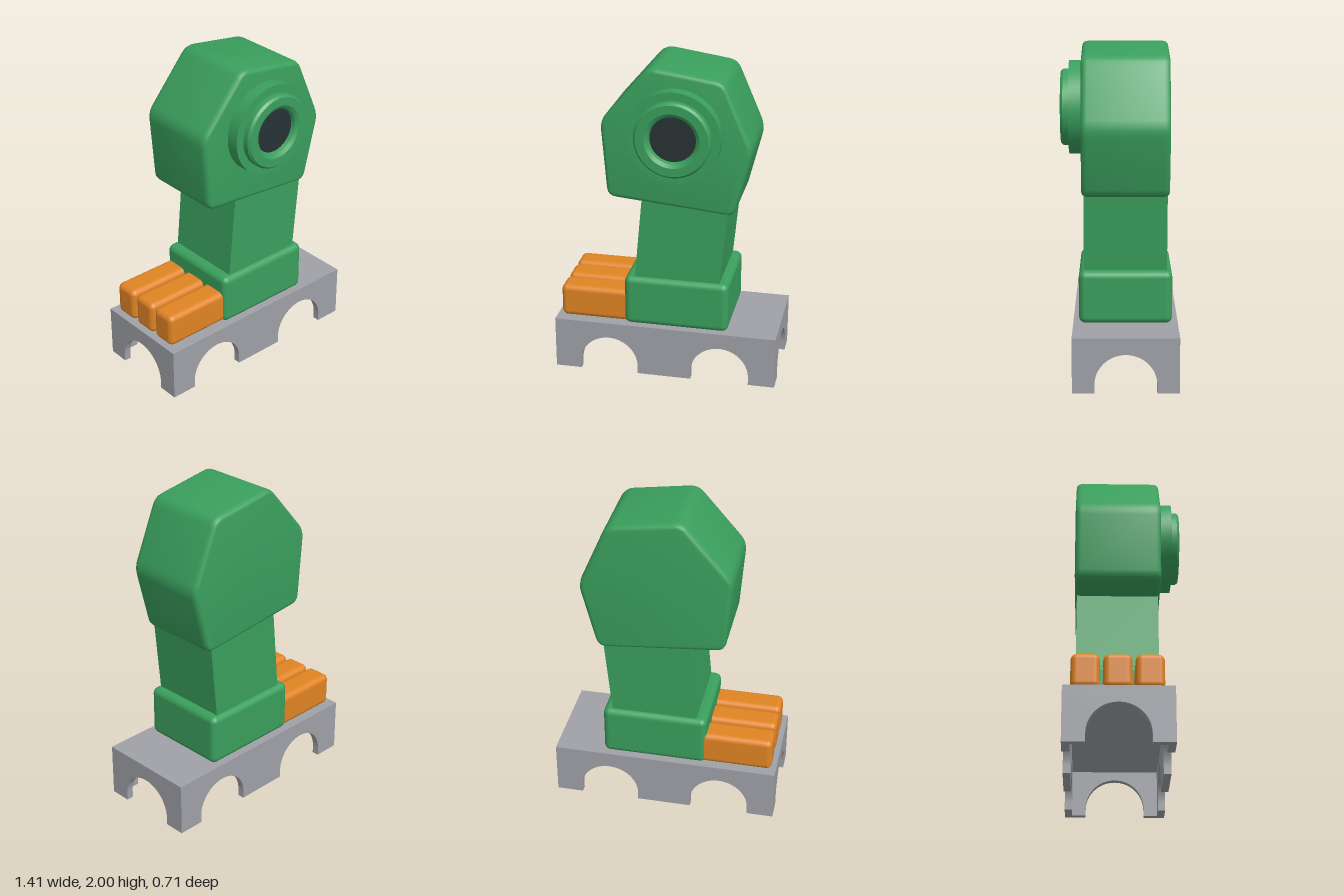
import * as THREE from 'three';
import { toCreasedNormals } from 'three/addons/utils/BufferGeometryUtils.js';
import { RoundedBoxGeometry } from 'three/addons/geometries/RoundedBoxGeometry.js';

const mat = (name, color) => {
  const m = new THREE.MeshStandardMaterial({ color });
  m.name = name;
  return m;
};

export function createModel() {
  const green = mat('green', 0x3a9f5d);
  const orange = mat('orange', 0xe08424);
  const grey = mat('grey', 0x9fa1a7);
  const dark = mat('dark lens', 0x273234);
  const model = new THREE.Group();

  const add = (parent, name, geo, material, x = 0, y = 0, z = 0) => {
    const mesh = new THREE.Mesh(geo, material);
    mesh.name = name;
    mesh.position.set(x, y, z);
    parent.add(mesh);
    return mesh;
  };

  // Rounded box given by its min and max corners
  const block = (parent, name, material, a, b, radius) => {
    const [w, h, d] = a.map((v, i) => b[i] - v);
    return add(parent, name, new RoundedBoxGeometry(w, h, d, 3, radius), material,
      ...a.map((v, i) => (v + b[i]) / 2));
  };

  // Hollow plinth: a top plate and four walls with arched cut-outs
  const base = new THREE.Group();
  base.name = 'base';
  base.position.z = -0.037;
  model.add(base);
  const W = 0.706, D = 0.317, H = 0.335, T = 0.045, R = 0.185, archSide = 0.05;
  const wall = (half, arches) => {
    const s = new THREE.Shape();
    s.moveTo(-half, 0);
    for (const c of arches) {
      s.lineTo(c - R, 0);
      s.lineTo(c - R, archSide);
      s.absarc(c, archSide, R, Math.PI, 0, true);
      s.lineTo(c + R, 0);
    }
    s.lineTo(half, 0);
    s.lineTo(half, H - T);
    s.lineTo(-half, H - T);
    const g = new THREE.ExtrudeGeometry(s, { depth: T, bevelEnabled: false, curveSegments: 24 });
    return toCreasedNormals(g, 0.5);
  };
  add(base, 'baseTop', new THREE.BoxGeometry(2 * W, T, 2 * D), grey, 0, H - T / 2, 0);
  for (const side of [1, -1]) {
    const long = add(base, 'longWall', wall(W, [-0.355, 0.355]), grey, 0, 0, side * (D - T));
    const short = add(base, 'shortWall', wall(D - T, [0]), grey, side * (W - T), 0, 0);
    long.rotation.y = side > 0 ? 0 : Math.PI;
    short.rotation.y = side * Math.PI / 2;
  }

  // Foot and three toes
  block(model, 'foot', green, [-0.262, 0.33, -0.32], [0.397, 0.655, 0.246], 0.04);
  for (const z of [-0.31, -0.125, 0.058]) {
    block(model, 'toe', orange, [-0.677, 0.334, z], [-0.22, 0.546, z + 0.166], 0.036);
  }

  // Leaning leg
  const legShape = new THREE.Shape([[-0.2, 0.62], [0.336, 0.62], [0.395, 1.25], [-0.142, 1.25]]
    .map(p => new THREE.Vector2(...p)));
  add(model, 'leg', new THREE.ExtrudeGeometry(legShape, { depth: 0.503, bevelEnabled: false }),
    green, 0, 0, -0.288);

  // Six-sided head with softened corners
  const corners = [[-0.1, 2.012], [0.35, 1.945], [0.528, 1.535], [0.42, 1.108], [-0.365, 1.18], [-0.403, 1.66]]
    .map(p => new THREE.Vector2(...p)).reverse();
  const headShape = new THREE.Shape();
  corners.forEach((c, i) => {
    const toward = q => c.clone().add(q.clone().sub(c).setLength(0.055));
    const a = toward(corners[(i + 5) % 6]), b = toward(corners[(i + 1) % 6]);
    if (i) headShape.lineTo(a.x, a.y);
    else headShape.moveTo(a.x, a.y);
    headShape.quadraticCurveTo(c.x, c.y, b.x, b.y);
  });
  headShape.closePath();
  const headGeo = new THREE.ExtrudeGeometry(headShape, {
    depth: 0.455, bevelThickness: 0.036, bevelSize: 0.026, bevelOffset: -0.026,
    bevelSegments: 3, curveSegments: 4,
  });
  add(model, 'head', toCreasedNormals(headGeo, 0.6), green, 0, 0, -0.264);

  // Stepped eye ring turned around the forward axis, with a sunken lens
  const eye = new THREE.Group();
  eye.name = 'eye';
  eye.position.set(0.065, 1.612, 0);
  eye.rotation.x = Math.PI / 2;
  model.add(eye);
  const profile = [[0.284, 0.2], [0.284, 0.305], [0.233, 0.305], [0.233, 0.34], [0.22, 0.355],
    [0.168, 0.355], [0.146, 0.34], [0.138, 0.312]].map(p => new THREE.Vector2(...p));
  const ringGeo = toCreasedNormals(new THREE.LatheGeometry(profile, 48), 0.5);
  // The profile runs outside to inside, so check facing by drawing both sides
  const ringMat = green.clone();
  ringMat.side = THREE.DoubleSide;
  const reversed = new THREE.LatheGeometry(profile.slice().reverse(), 48);
  ringGeo.dispose();
  ringMat.dispose();
  // Outward faces need the profile to climb from bottom to top along the outside
  const climbs = new THREE.LatheGeometry(profile, 48);
  reversed.dispose();
  add(eye, 'eyeRing', toCreasedNormals(climbs, 0.5), green);
  add(eye, 'lens', new THREE.CylinderGeometry(0.14, 0.14, 0.008, 48), dark, 0, 0.312, 0);
  return model;
}
